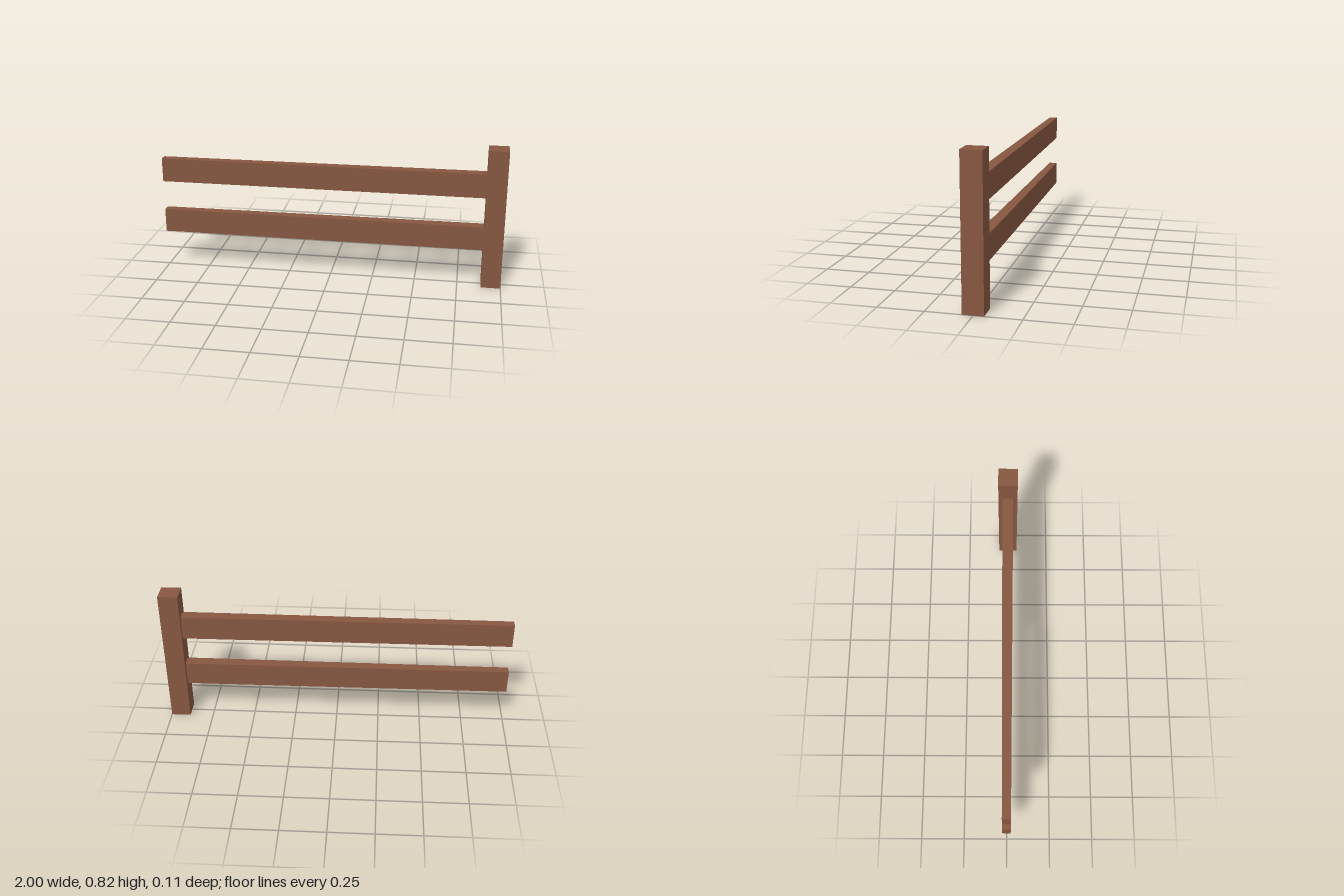
import * as THREE from 'three';

// Box with one face left open (0 +x, 1 -x, 2 +y, 3 -y, 4 +z, 5 -z)
function openBox(w, h, d, openFace) {
  const geo = new THREE.BoxGeometry(w, h, d);
  const index = Array.from(geo.index.array);
  index.splice(openFace * 6, 6);
  geo.setIndex(index);
  geo.clearGroups();
  return geo;
}

export function createModel() {
  const group = new THREE.Group();
  const wood = new THREE.MeshStandardMaterial({ color: 0x865741, side: THREE.DoubleSide });
  wood.name = 'brown wood';

  // Post: hollow underneath
  const postWidth = 0.113, postHeight = 0.822;
  const post = new THREE.Mesh(openBox(postWidth, postHeight, postWidth, 3), wood);
  post.name = 'post';
  post.position.set(1 - postWidth / 2, postHeight / 2, 0);
  group.add(post);

  // Rails: thicker where they meet the post, thinner at the free end
  const railEnd = 1 - postWidth;
  const railLength = railEnd + 1;
  const railGeo = openBox(railLength, 0.14, 1, 0);
  const pos = railGeo.attributes.position;
  for (let i = 0; i < pos.count; i++) {
    const halfDepth = pos.getX(i) > 0 ? 0.032 : 0.024;
    pos.setZ(i, Math.sign(pos.getZ(i)) * halfDepth);
  }
  railGeo.computeVertexNormals();
  [['lowerRail', 0.292], ['upperRail', 0.608]].forEach(([name, y]) => {
    const rail = new THREE.Mesh(railGeo, wood);
    rail.name = name;
    rail.position.set((railEnd - 1) / 2, y, -0.001);
    group.add(rail);
  });

  return group;
}
